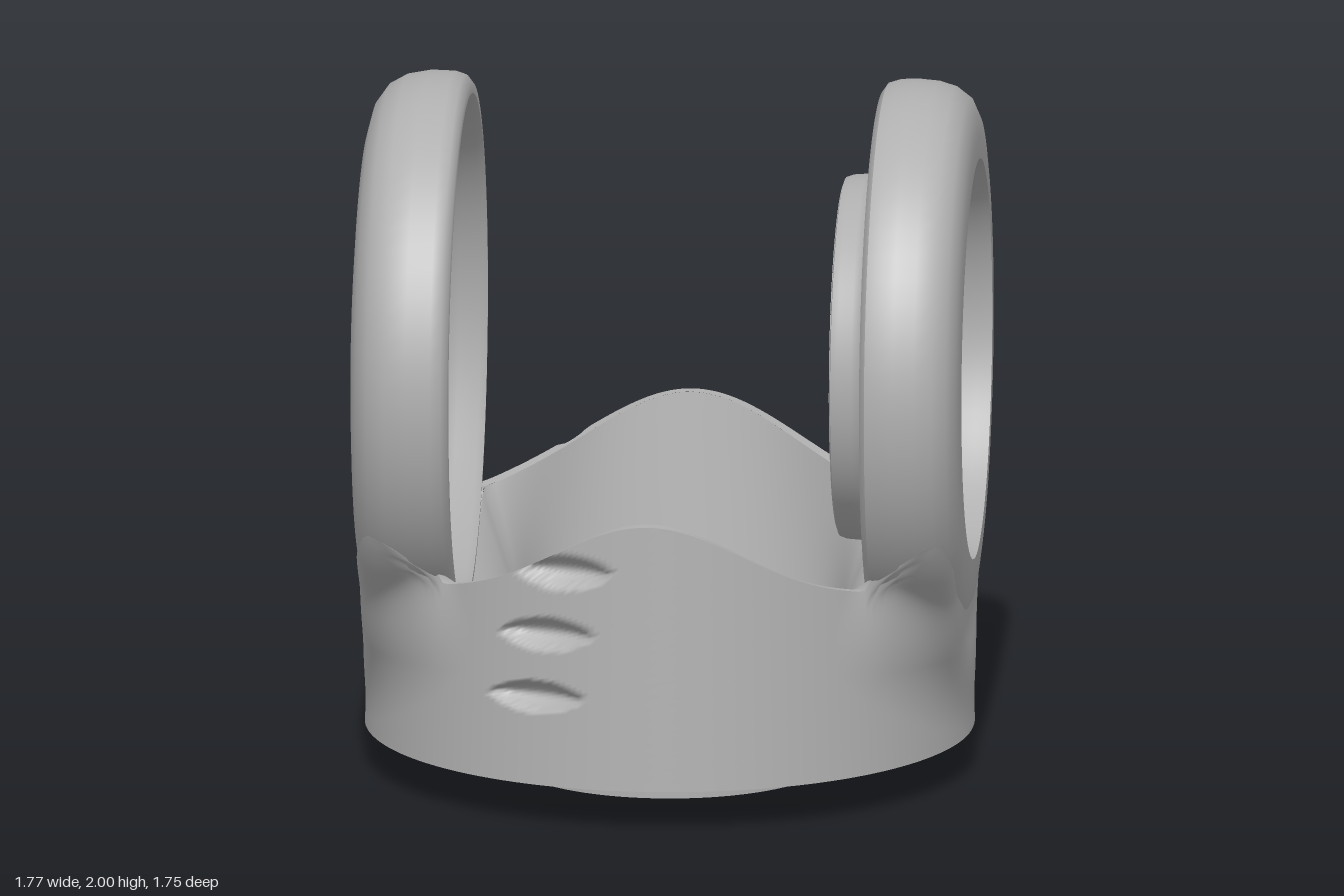
import * as THREE from 'three';
import { toCreasedNormals } from 'three/addons/utils/BufferGeometryUtils.js';

const TAU = Math.PI * 2;
const AXIS_Y = 1.2; // height of the pivot axis
const { lerp, smoothstep } = THREE.MathUtils;

// ---- shape helpers ----
function ring(path, r, cx = 0, cy = 0) {
  path.absarc(cx, cy, r, 0, TAU, false);
  return path;
}
const disc = (r, holes = []) => {
  const s = ring(new THREE.Shape(), r);
  s.holes.push(...holes);
  return s;
};
const hole = (r, cx, cy) => ring(new THREE.Path(), r, cx, cy);
const boltHoles = (r, radius, start) => Array.from({ length: 6 }, (_, i) => {
  const a = start + i * TAU / 6;
  return hole(r, radius * Math.cos(a), radius * Math.sin(a));
});
function arcBand(path, r0, r1, a0, a1) {
  path.absarc(0, 0, r1, a0, a1, false);
  path.absarc(0, 0, r0, a1, a0, true);
  path.closePath();
  return path;
}
function radialSlot(a, r0, r1, w) {
  const c = Math.cos(a), s = Math.sin(a);
  const pts = [[r0, -w], [r1, -w], [r1, w], [r0, w]];
  return new THREE.Path(pts.map(([u, v]) => new THREE.Vector2(u * c - v * s, u * s + v * c)));
}
const extrude = (shape, depth) => toCreasedNormals(
  new THREE.ExtrudeGeometry(shape, { depth, bevelEnabled: false, curveSegments: 40 }), 0.5);
// plate between two x positions, centred on the pivot axis
const sidePlate = (shape, x0, x1) =>
  extrude(shape, x1 - x0).rotateY(Math.PI / 2).translate(x0, AXIS_Y, 0);
// plate between two heights
const floorPlate = (shape, y0, y1) => extrude(shape, y1 - y0).rotateX(-Math.PI / 2).translate(0, y0, 0);
// lathe about the pivot axis from [radius, x] pairs
const sideLathe = (pts) => toCreasedNormals(
  new THREE.LatheGeometry(pts.map(([r, x]) => new THREE.Vector2(r, x)), 72), 0.6)
  .rotateZ(-Math.PI / 2).translate(0, AXIS_Y, 0);

// closed-loop surface: fn(angle, v) -> [radius, y]
function loopSurface(fn, nu, nv) {
  const pos = [], idx = [];
  for (let j = 0; j <= nv; j++) for (let i = 0; i < nu; i++) {
    const a = i / nu * TAU, [r, y] = fn(a, j / nv);
    pos.push(r * Math.sin(a), y, r * Math.cos(a));
  }
  for (let j = 0; j < nv; j++) for (let i = 0; i < nu; i++) {
    const k = (i + 1) % nu, a = j * nu + i, b = j * nu + k;
    idx.push(a, b, b + nu, a, b + nu, a + nu);
  }
  const g = new THREE.BufferGeometry();
  g.setAttribute('position', new THREE.Float32BufferAttribute(pos, 3));
  g.setIndex(idx);
  g.computeVertexNormals();
  return g;
}

// ---- housing wall: tapered cylinder blended into the two side discs ----
const smoothMin = (a, b, k) => {
  const h = Math.max(k - Math.abs(a - b), 0) / k;
  return Math.min(a, b) - h * h * k / 4;
};
function wallDistance(x, y, z) {
  const cyl = Math.hypot(x, z) - (0.875 - 0.05 * (y - 0.12));
  const round = 0.1;
  const qr = Math.hypot(y - AXIS_Y, z) - (0.8 - round), qx = Math.abs(Math.abs(x) - 0.74) - (0.14 - round);
  const d = Math.hypot(Math.max(qr, 0), Math.max(qx, 0)) + Math.min(Math.max(qr, qx), 0) - round;
  const blended = smoothMin(cyl, d, 0.27 * (1 - smoothstep(y, 0.4, 0.84)) + 0.001);
  const sideLimit = Math.abs(x) - lerp(0.9, 0.864, smoothstep(y, 0.12, 0.45));
  return -smoothMin(-blended, -sideLimit, 0.04);
}
function wallRadius(a, y) {
  const s = Math.sin(a), c = Math.cos(a);
  let r = 1.2;
  while (r > 0.7 && wallDistance(r * s, y, r * c) > 0) r -= 0.01;
  let lo = r, hi = r + 0.01;
  for (let i = 0; i < 8; i++) {
    const m = (lo + hi) / 2;
    if (wallDistance(m * s, y, m * c) > 0) hi = m; else lo = m;
  }
  return lo;
}
// wavy top edge, ending just inside the discs at both sides
const waveTop = (a) => 0.62 + 0.27 * Math.exp(-((0.85 * Math.sin(a) / 0.42) ** 2));
const discBottom = (z) => AXIS_Y - Math.sqrt(Math.max(0, 0.64 - z * z));
const wallTop = (a) => lerp(waveTop(a), discBottom(Math.min(0.66, 0.98 * Math.abs(Math.cos(a)))) + 0.11,
  smoothstep(Math.abs(Math.sin(a)), 0.7, 0.77));
// leaf-shaped scoops in the wall, front and back: [x, y]
const scoops = [[-0.24, 0.745], [-0.295, 0.56], [-0.325, 0.375]];
function scoopDepth(x, y) {
  let d = 0;
  for (const [cx, cy] of scoops) {
    const u = (x - cx) / 0.14, v = (y - cy) / 0.042;
    d = Math.max(d, 0.05 * Math.sqrt(Math.max(0, 1 - u * u - Math.abs(v))));
  }
  return d;
}
function outerWall(a, v) {
  const y = lerp(0.12, wallTop(a), v), r = wallRadius(a, y);
  return [r - scoopDepth(r * Math.sin(a), y), y];
}
// rounded rectangle in polar form
const pocket = (a, hx, hz, n) =>
  (Math.abs(Math.sin(a) / hx) ** n + Math.abs(Math.cos(a) / hz) ** n) ** (-1 / n);
function innerTop(a) {
  const r = Math.min(pocket(a, 0.585, 0.8, 7), wallRadius(a, waveTop(a)) - 0.04);
  return [r, Math.min(waveTop(a), discBottom(r * Math.cos(a)) + 0.035)];
}
function wallRim(a, v) {
  const [r0, y0] = outerWall(a, 1), [r1, y1] = innerTop(a);
  return [lerp(r0, r1, v), lerp(y0, y1, v)];
}
function innerWall(a, v) {
  const mid = pocket(a, 0.465, 0.715, 7), [r, y] = innerTop(a);
  if (v < 0.75) return [lerp(r, mid, v / 0.75), lerp(y, 0.34, v / 0.75)];
  const t = (v - 0.75) / 0.25;
  return [lerp(mid, pocket(a, 0.41, 0.65, 8), 1 - Math.sqrt(1 - t * t)), lerp(0.34, 0.249, t)];
}

export function createModel() {
  const group = new THREE.Group();
  const grey = new THREE.MeshStandardMaterial({ color: 0xb0b0b0 });
  grey.name = 'grey';
  const add = (name, geometry) => {
    const m = new THREE.Mesh(geometry, grey);
    m.name = name;
    group.add(m);
  };

  // housing
  add('housingWall', loopSurface(outerWall, 320, 72));
  add('housingRim', loopSurface(wallRim, 320, 1));
  add('housingPocket', loopSurface(innerWall, 160, 16));

  // floor with bolt counterbores, and mounting plug below
  const floorHoles = (r) => [hole(0.225, 0, 0), ...boltHoles(r, 0.32, 0)];
  add('pocketFloor', floorPlate(disc(0.78, floorHoles(0.055)), 0.2, 0.25));
  add('basePlate', floorPlate(disc(0.866, floorHoles(0.03)), 0.12, 0.2));
  add('mountingPlug', floorPlate(disc(0.465, floorHoles(0.03)), 0, 0.12));

  // left side disc: dished outside, boss inside
  add('leftDiscRim', sideLathe([
    [0.72, 0.6], [0.765, 0.602], [0.788, 0.618], [0.798, 0.65], [0.8, 0.7], [0.795, 0.76], [0.78, 0.81],
    [0.75, 0.85], [0.7, 0.873], [0.64, 0.881], [0.575, 0.882],
    [0.565, 0.84], [0.55, 0.76], [0.53, 0.705], [0.505, 0.675], [0.47, 0.66]]));
  const dHole = () => {
    const p = new THREE.Path();
    p.absarc(0, 0, 0.148, 190 * Math.PI / 180, 465 * Math.PI / 180, false);
    p.closePath();
    return p;
  };
  const start = Math.PI / 2;
  add('leftDiscFace', sidePlate(disc(0.722,
    [hole(0.5, 0, 0), arcBand(new THREE.Path(), 0.63, 0.7, -0.62, 0.56)]), 0.6, 0.645));
  add('leftDiscBacking', sidePlate(disc(0.722, [hole(0.5, 0, 0)]), 0.645, 0.655));
  add('dishFloor', sidePlate(disc(0.51, [dHole(), ...boltHoles(0.056, 0.36, start)]), 0.61, 0.66));
  add('boltWeb', sidePlate(disc(0.51, [dHole(), ...boltHoles(0.03, 0.36, start)]), 0.56, 0.61));
  const slots = Array.from({ length: 6 }, (_, i) => radialSlot(start + i * TAU / 6, 0.2, 0.44, 0.045));
  add('slottedBoss', sidePlate(disc(0.5, [dHole(), ...slots]), 0.495, 0.56));
  add('bossEdge', sideLathe([
    [0.495, 0.495], [0.515, 0.5], [0.522, 0.52], [0.525, 0.56], [0.535, 0.585], [0.56, 0.602]]));

  // right side disc: domed outside, recessed inside
  add('rightDisc', sideLathe([
    [0, -0.888], [0.3, -0.886], [0.5, -0.88], [0.64, -0.868], [0.71, -0.85], [0.76, -0.815], [0.788, -0.765],
    [0.8, -0.7], [0.798, -0.63], [0.788, -0.6], [0.765, -0.582], [0.735, -0.58],
    [0.72, -0.6], [0.7, -0.66], [0.67, -0.71], [0.63, -0.735], [0.6, -0.74], [0.37, -0.74],
    [0.37, -0.77], [0, -0.77]]));
  // recess ring with a notch towards the front
  add('recessRing', sidePlate(
    arcBand(new THREE.Shape(), 0.37, 0.45, Math.PI + 0.45, 3 * Math.PI - 0.45), -0.745, -0.7));
  add('recessRingNotch', sidePlate(
    arcBand(new THREE.Shape(), 0.43, 0.45, Math.PI - 0.45, Math.PI + 0.45), -0.745, -0.7));
  return group;
}
